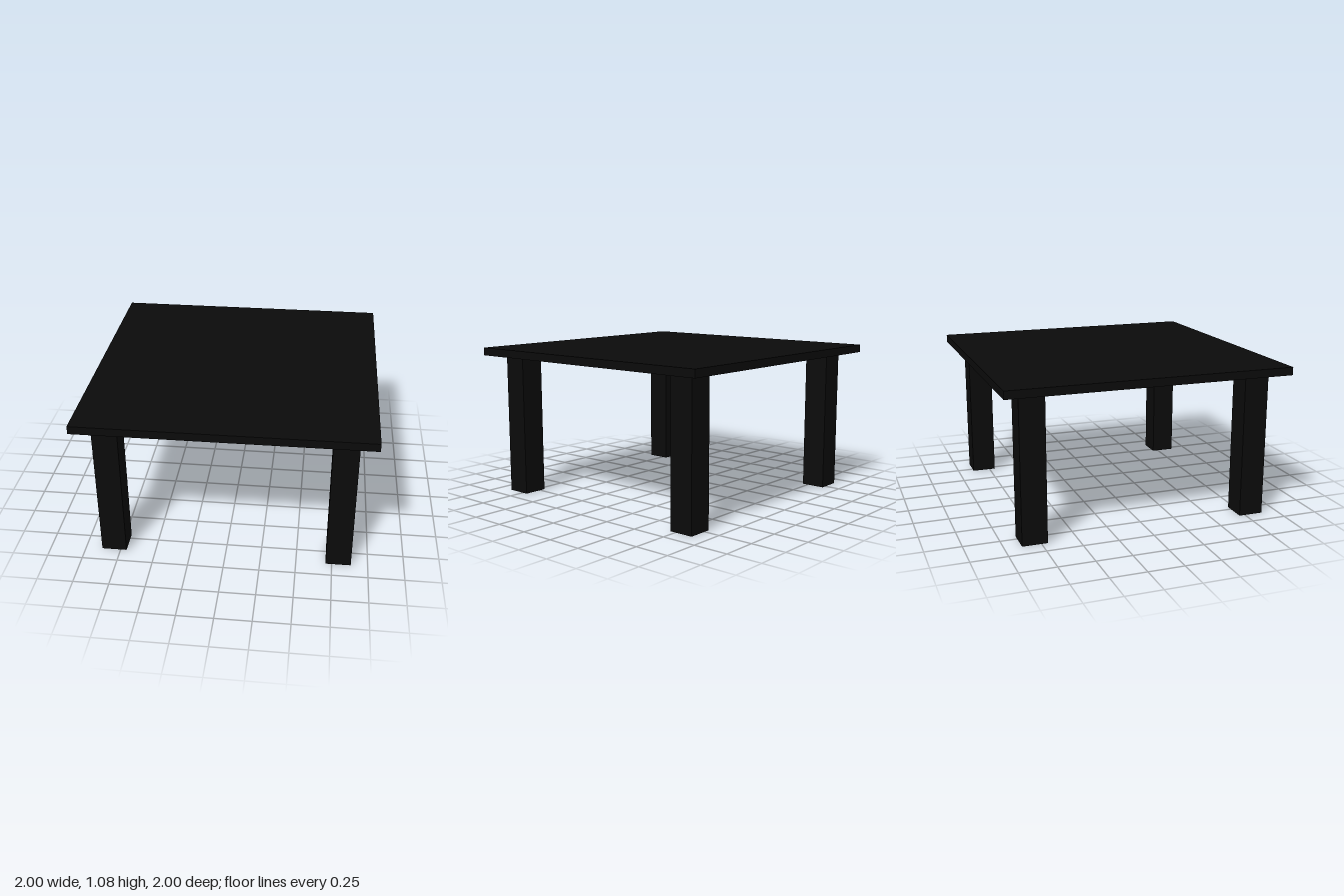
import * as THREE from 'three';

export function createModel() {
  const model = new THREE.Group();
  model.name = 'table';
  const black = new THREE.MeshStandardMaterial({ color: 0x0a0a0a });

  const legHeight = 1.027, legWidth = 0.175, legOffset = 0.795;
  const topThickness = 0.056;

  // Square slab top
  const top = new THREE.Mesh(new THREE.BoxGeometry(2, topThickness, 2), black);
  top.name = 'tableTop';
  top.position.y = legHeight + topThickness / 2;
  model.add(top);

  // Four square legs, inset from the corners
  const legGeometry = new THREE.BoxGeometry(legWidth, legHeight, legWidth);
  for (const [sx, side] of [[1, 'Left'], [-1, 'Right']]) {
    for (const [sz, end] of [[1, 'front'], [-1, 'back']]) {
      const leg = new THREE.Mesh(legGeometry, black);
      leg.name = `${end}${side}Leg`;
      leg.position.set(sx * legOffset, legHeight / 2, sz * legOffset);
      model.add(leg);
    }
  }
  return model;
}
